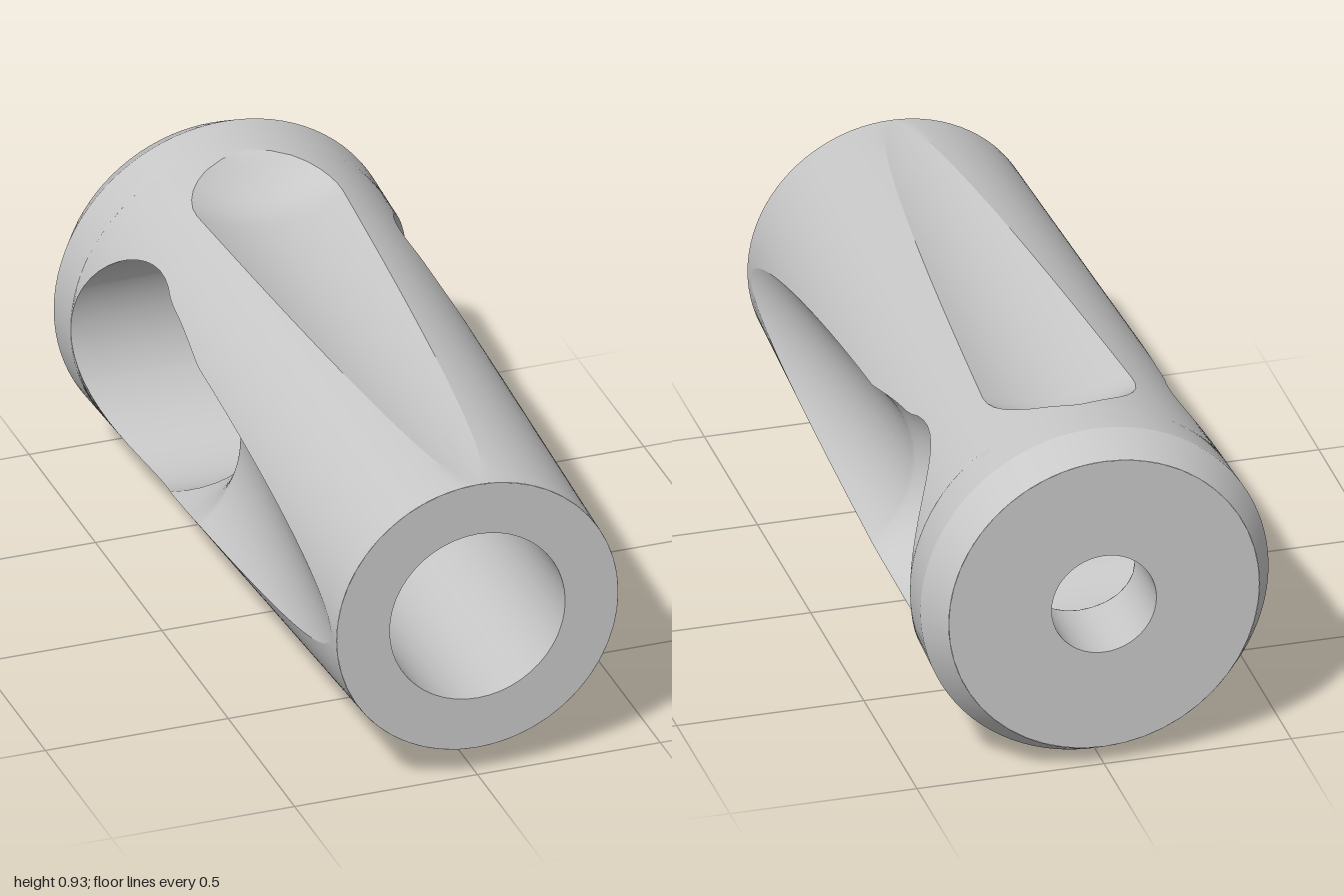
import * as THREE from 'three';
import { toCreasedNormals } from 'three/addons/utils/BufferGeometryUtils.js';

const CY = 0.466;                       // height of the long axis (runs along z)
const ZC = -0.49, RW = 0.305;           // cross window: centre and radius
const RH = 0.14, RB = 0.24, ZB = -0.05; // through hole, front bore, bore floor
const RC = 0.29;                        // radius of the hollow side channels
const ZS = 0.1, RS = 0.08, HZ = 0.12;   // screw holes: position, rim radius, patch half length
const { sqrt, min, max, abs, sin, cos, asin, PI } = Math;
const lerp = (a, b, t) => a + (b - a) * t;

// Tapered outer radius with a chamfer at the back
const outerR = z => z < -0.91 ? lerp(0.465, 0.415, (-0.91 - z) / 0.09) : lerp(0.465, 0.385, (z + 0.91) / 1.91);

// Groove on top and bottom: edge height, edge angle from the side, and hollow floor
const grooveEdge = z => 0.397 - 0.012 * z + 0.057 * max(0, (-0.56 - z) / 0.2) ** 2;
const grooveAngle = z => asin(min(1, grooveEdge(z) / outerR(z)));
function grooveFloor(z, x) {
  const w = outerR(z) * cos(grooveAngle(z));
  return min(grooveEdge(z), outerR(z)) - 1.2 * max(0, w * w - x * x);
}

// Half height and half depth of the window
const windowY = z => sqrt(max(0, RW * RW - (z - ZC) ** 2));
const windowZ = y => sqrt(max(0, RW * RW - y * y));

// Hollow side channel, deepening towards the window and rounded over into it
function sideChannel(z, y) {
  if (z <= ZC) return Infinity;
  const rim = ZC + windowZ(y);
  const t = min(1, max(0, (-0.09 - z) / (-0.09 - rim)));
  return 0.264 + 0.127 * z + RC - sqrt(max(0, RC * RC - y * y)) - 0.09 * t ** 1.5;
}
const sideX = (z, y) => min(sideChannel(z, y), sqrt(max(0, outerR(z) ** 2 - y * y)));

// Upper edge of the side channel at z
function sideEdge(z) {
  const over = y => sideChannel(z, y) ** 2 + y * y >= outerR(z) ** 2;
  let a = windowY(z), b = 0.4;
  if (over(a)) return a;
  for (let i = 0; i < 30; i++) {
    const m = (a + b) / 2;
    if (over(m)) b = m; else a = m;
  }
  return a;
}
const sideAngle = z => asin(sideEdge(z) / outerR(z));

// Shell point by angle, used in the band with the screw holes
function shellPoint(th, z) {
  const x = outerR(z) * cos(th), y = outerR(z) * sin(th);
  if (y > grooveEdge(z) - 1e-6) return [x, grooveFloor(z, x), z];
  return [Math.sign(x) * min(abs(x), sideChannel(z, y)), y, z];
}

// Grid of triangles from f(i, j), mirrored by sx and sy
function sheet(out, f, nu, nv, sx = 1, sy = 1) {
  const flip = sx * sy < 0;
  const p = [];
  for (let j = 0; j <= nv; j++) {
    for (let i = 0; i <= nu; i++) {
      const [x, y, z] = f(i, j);
      p.push([x * sx, y * sy + CY, z]);
    }
  }
  const tri = (a, b, c) => out.push(...p[a], ...(flip ? p[c] : p[b]), ...(flip ? p[b] : p[c]));
  for (let j = 0; j < nv; j++) {
    for (let i = 0; i < nu; i++) {
      const a = j * (nu + 1) + i, d = a + nu + 1;
      tri(a, a + 1, d + 1);
      tri(a, d + 1, d);
    }
  }
}

const UPPER = [[1, 1], [-1, 1]], ALL = [...UPPER, [1, -1], [-1, -1]];

// Angles around the window rim from back to front, finer beside the long hole
const RIM = [];
const holeStep = k => asin(RH / RW * sin(k / 6 * PI / 2));
for (let k = 0; k < 6; k++) RIM.push(holeStep(k));
for (let k = 0; k <= 18; k++) RIM.push(lerp(holeStep(6), PI - holeStep(6), k / 18));
for (let k = 5; k >= 0; k--) RIM.push(PI - holeStep(k));
const rimZ = k => ZC - RW * cos(RIM[k]);

// Quarters of the shell over a list of z rows
function quarterRows(out, rows, signs) {
  const NA = 12, NM = 22, NC = 8;
  const grid = rows.map(z => {
    const R = outerR(z), y0 = windowY(z), ys = sideEdge(z);
    const pa = asin(ys / R), pt = grooveAngle(z);
    const line = [];
    for (let i = 0; i <= NA; i++) {
      const y = lerp(y0, ys, i / NA);
      line.push([sideX(z, y), y, z]);
    }
    for (let i = 1; i <= NM; i++) {
      const a = lerp(pa, pt, i / NM);
      line.push([R * cos(a), R * sin(a), z]);
    }
    for (let i = 1; i <= NC; i++) {
      const x = R * cos(pt) * (1 - i / NC);
      line.push([x, grooveFloor(z, x), z]);
    }
    return line;
  });
  for (const [sx, sy] of signs) sheet(out, (i, j) => grid[j][i], NA + NM + NC, rows.length - 1, sx, sy);
}

// Shell patch around a screw hole at angle th, between two edge angles
function holePatch(out, th, lo, hi, sx) {
  sheet(out, (i, j) => {
    const a = j * PI / 24, c = cos(a), s = sin(a), m = max(abs(c), abs(s)), v = i / 10;
    const zo = ZS + HZ * s / m;
    const to = lerp(lo(zo), hi(zo), (c / m + 1) / 2);
    return shellPoint(lerp(th + c * RS / 0.42, to, v), lerp(ZS + s * RS, zo, v));
  }, 10, 48, sx, -1);
}

function shell() {
  const out = [];
  const zf = ZC + RW, z1 = ZS - HZ, z2 = ZS + HZ;
  const steps = (a, b, n) => Array.from({ length: n + 1 }, (_, k) => lerp(a, b, k / n));
  const back = [-1, -0.91, -0.87, -0.83, ...RIM.map((_, k) => rimZ(k)), ...steps(zf, z1, 26).slice(1)];
  quarterRows(out, back, ALL);
  quarterRows(out, steps(z1, z2, 6), UPPER);
  quarterRows(out, steps(z2, 1, 24), ALL);

  // Lower half of the band with the screw holes
  for (const sx of [1, -1]) {
    sheet(out, (i, j) => {
      const z = lerp(z1, z2, j / 12), y = sideEdge(z) * i / 12;
      return [sideX(z, y), y, z];
    }, 12, 12, sx, -1);
    holePatch(out, PI / 4, sideAngle, grooveAngle, sx);
  }
  holePatch(out, PI / 2, grooveAngle, z => PI - grooveAngle(z), 1);
  return out;
}

// Curved wall of the cross window, open where the long hole passes
function windowWall() {
  const out = [], n = RIM.length - 1;
  for (const [sx, sy] of ALL) {
    sheet(out, (i, j) => {
      const z = rimZ(n - i), y = windowY(z);
      return [lerp(sqrt(max(0, RH * RH - y * y)), sideX(z, y), j / 6), y, z];
    }, n, 6, sx, sy);
  }
  return out;
}

// Surface turned about the long axis; z may be a function of y to meet the window wall
function turned(profile) {
  const out = [];
  sheet(out, (i, j) => {
    const a = i * PI / 24, [r, z] = profile[j];
    return [r * cos(a), r * sin(a), typeof z === 'function' ? z(r * sin(a)) : z];
  }, 48, profile.length - 1);
  return out;
}

// Countersunk screw hole reaching the bore
function screwHole(th) {
  const out = [];
  const [cx, cy] = shellPoint(th, ZS);
  const depth = Math.hypot(cx, cy) - 0.04;
  sheet(out, (i, j) => {
    const a = i * PI / 24;
    if (j === 0) return shellPoint(th + cos(a) * RS / 0.42, ZS + sin(a) * RS);
    const n = j === 1 ? depth : RB, t = 0.05 * cos(a);
    return [n * cos(th) - t * sin(th), n * sin(th) + t * cos(th), ZS + 0.05 * sin(a)];
  }, 48, 2, 1, -1);
  return out;
}

export function createModel() {
  const group = new THREE.Group();
  const metal = new THREE.MeshStandardMaterial({ color: 0xc8c8c8, side: THREE.DoubleSide });
  metal.name = 'plain grey';
  const add = (name, positions) => {
    const g = new THREE.BufferGeometry();
    g.setAttribute('position', new THREE.Float32BufferAttribute(positions, 3));
    const mesh = new THREE.Mesh(toCreasedNormals(g, 0.3), metal);
    mesh.name = name;
    group.add(mesh);
  };
  add('taperedShell', shell());
  add('crossWindowWall', windowWall());
  add('frontFaceAndBore', turned([[0.385, 1], [RB, 1], [RB, ZB], [RH, ZB], [RH, y => ZC + windowZ(y)]]));
  add('backFaceAndHole', turned([[RH, y => ZC - windowZ(y)], [RH, -1], [0.415, -1]]));
  [1, 2, 3].forEach(k => add('screwHole' + k, screwHole(k * PI / 4)));
  return group;
}
